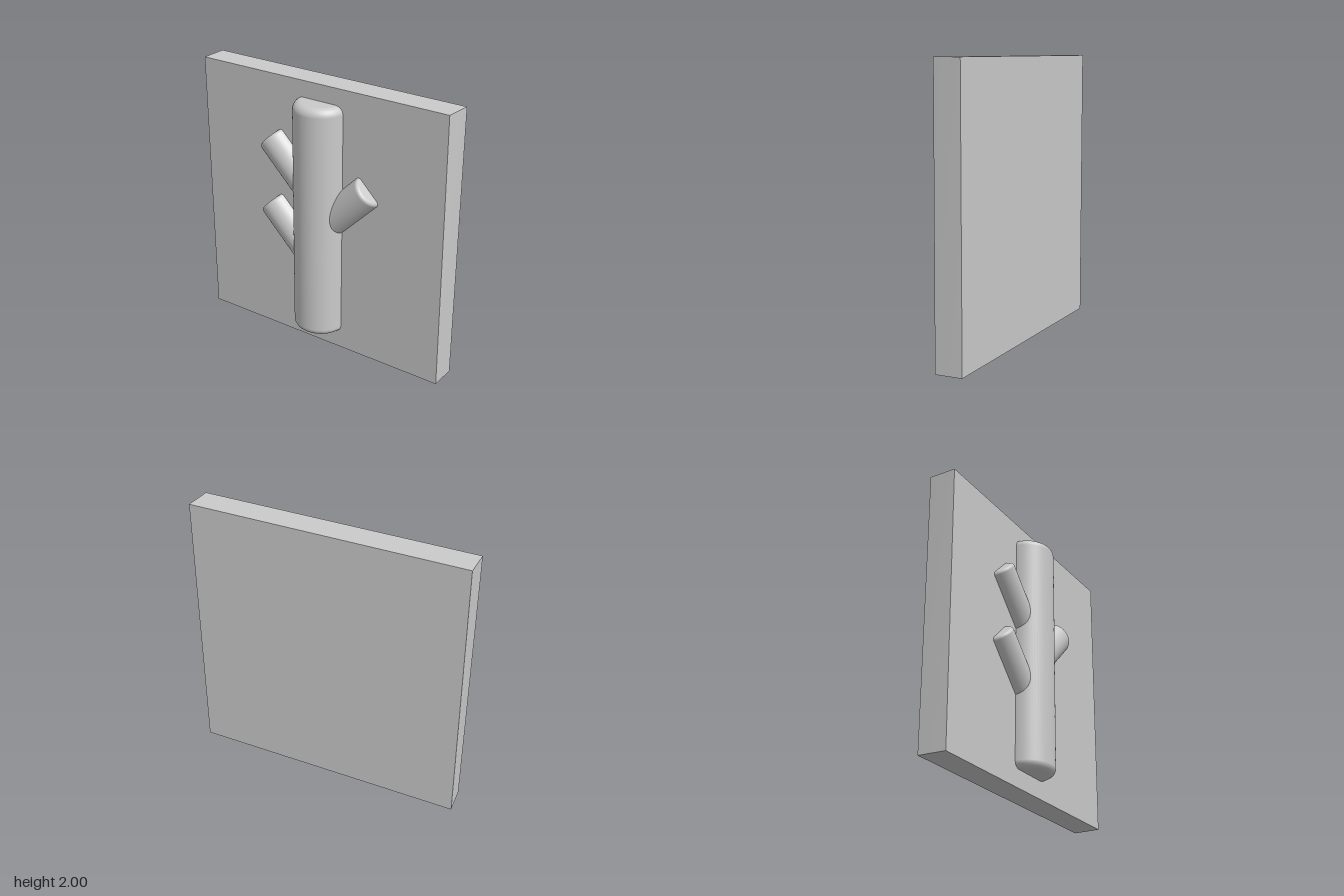
import * as THREE from 'three';

const AXIS_Z = -0.015; // logs are half sunk into the panel

// Half log with rounded rims, running along +y from 0 to length, bulging to +z
function halfLog(radius, length, topRound, baseRound, material) {
  const points = [new THREE.Vector2(0, 0)];
  const steps = 6;
  for (let i = 0; i <= steps; i++) {
    const a = (i / steps) * Math.PI / 2;
    points.push(new THREE.Vector2(
      radius - baseRound * (1 - Math.sin(a)), baseRound * (1 - Math.cos(a))));
  }
  for (let i = 0; i <= steps; i++) {
    const a = (i / steps) * Math.PI / 2;
    points.push(new THREE.Vector2(
      radius - topRound * (1 - Math.cos(a)), length - topRound * (1 - Math.sin(a))));
  }
  points.push(new THREE.Vector2(0, length));
  return new THREE.Mesh(
    new THREE.LatheGeometry(points, 32, -Math.PI / 2, Math.PI), material);
}

export function createModel() {
  const group = new THREE.Group();
  const grey = new THREE.MeshStandardMaterial({ color: 0xcacaca });
  grey.name = 'stone grey';

  // Square backing panel, its front face very slightly skewed at two corners
  const slab = new THREE.BoxGeometry(2, 2, 0.195);
  const pos = slab.attributes.position;
  for (let i = 0; i < pos.count; i++) {
    if (pos.getZ(i) > 0 && pos.getX(i) * pos.getY(i) > 0) {
      pos.setX(i, pos.getX(i) * 0.985);
    }
  }
  slab.computeVertexNormals();
  const panel = new THREE.Mesh(slab, grey);
  panel.name = 'panel';
  panel.position.set(0, 1, -0.0875);
  group.add(panel);

  // Upright trunk
  const trunk = halfLog(0.196, 1.75, 0.06, 0.05, grey);
  trunk.name = 'trunk';
  trunk.position.set(0, 0.13, AXIS_Z);
  group.add(trunk);

  // Branches rise at 45 degrees from the trunk's axis
  const reach = 0.41;
  const branches = [
    ['upperRightBranch', -1, 1.53],
    ['lowerRightBranch', -1, 1.03],
    ['leftBranch', 1, 1.33],
  ];
  for (const [name, side, tipY] of branches) {
    const branch = halfLog(0.12, reach * Math.SQRT2, 0.025, 0.01, grey);
    branch.name = name;
    branch.position.set(0, tipY - reach, AXIS_Z);
    branch.rotation.z = -side * Math.PI / 4;
    group.add(branch);
  }

  return group;
}
